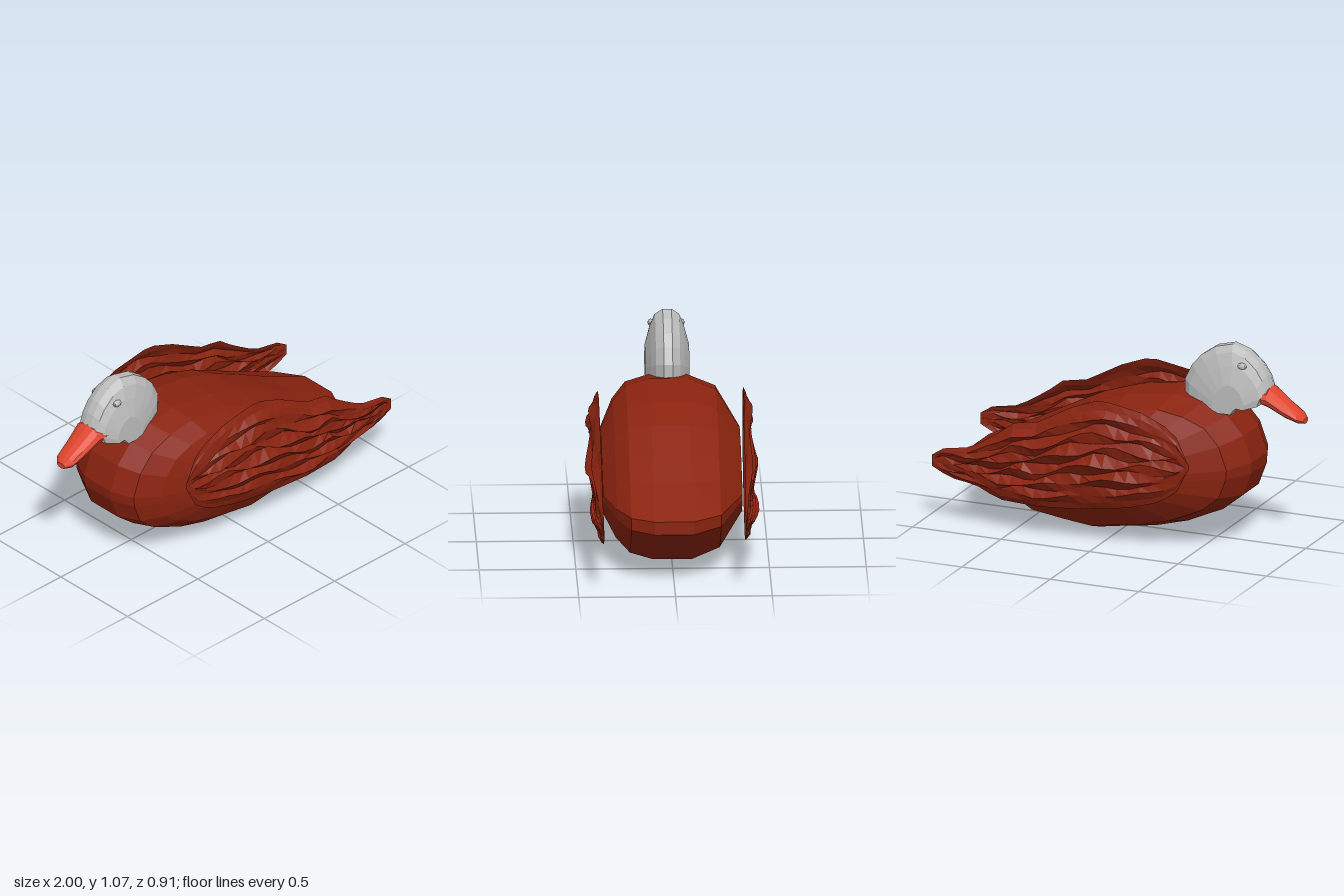
import * as THREE from 'three';

const mat = (name, color, opts = {}) => {
  const m = new THREE.MeshStandardMaterial({ color, flatShading: true, ...opts });
  m.name = name;
  return m;
};

// Faceted geometry from a list of points and triangle indices
function build(points, index) {
  const g = new THREE.BufferGeometry();
  g.setAttribute('position', new THREE.Float32BufferAttribute(points.flat(), 3));
  g.setIndex(index);
  const flat = g.toNonIndexed();
  flat.computeVertexNormals();
  return flat;
}

// Skin a stack of closed rings and cap both ends
function loft(rings) {
  const n = rings[0].length, last = rings.length - 1;
  const points = rings.flat(), index = [];
  const centre = r => [0, 1, 2].map(k => r.reduce((s, p) => s + p[k], 0) / n);
  points.push(centre(rings[0]), centre(rings[last]));
  const c0 = points.length - 2, c1 = points.length - 1;
  for (let j = 0; j < n; j++) {
    const k = (j + 1) % n;
    for (let i = 0; i < last; i++) {
      const a = i * n + j, b = i * n + k;
      index.push(a, b, b + n, a, b + n, a + n);
    }
    index.push(c0, k, j, c1, last * n + j, last * n + k);
  }
  return build(points, index);
}

// Side profile repeated across z, squeezed into each slice's x and y range
function slices(profile, list) {
  const xs = profile.map(p => p[0]), ys = profile.map(p => p[1]);
  const x0 = Math.min(...xs), x1 = Math.max(...xs), y0 = Math.min(...ys), y1 = Math.max(...ys);
  const map = THREE.MathUtils.mapLinear;
  return loft(list.map(([z, xa, xb, ya, yb]) =>
    profile.map(([x, y]) => [map(x, x0, x1, xa, xb), map(y, y0, y1, ya, yb), z])));
}

// Height of a polyline at x
function sample(line, x) {
  for (let i = 1; i < line.length; i++) {
    const [ax, ay] = line[i - 1], [bx, by] = line[i];
    if (x <= bx) return ay + (by - ay) * (x - ax) / (bx - ax);
  }
  return line[line.length - 1][1];
}

const wingTop = [[-0.46, 0.5], [-0.44, 0.59], [-0.36, 0.68], [-0.2, 0.75], [0.04, 0.79],
  [0.2, 0.73], [0.4, 0.62], [0.53, 0.6], [0.62, 0.53], [0.78, 0.43], [0.95, 0.4], [1, 0.36]];
const wingBottom = [[-0.46, 0.48], [-0.42, 0.37], [-0.3, 0.28], [-0.1, 0.22], [0.15, 0.18],
  [0.4, 0.16], [0.62, 0.17], [0.75, 0.23], [0.9, 0.25], [1, 0.3]];
// Feather relief from lower to upper edge
const featherRelief = [0, 0.25, 0.6, 0.3, 0.75, 0.4, 0.85, 0.35, 0.9, 0.5, 1, 0.55, 0.7, 0.3, 0];

// Single-sheet wing with ridged feathers converging on the tail
function wing(side) {
  const cols = 22, rows = featherRelief.length, points = [], index = [];
  for (let i = 0; i <= cols; i++) {
    const t = i / cols;
    const x = -0.46 + 1.46 * t;
    const lo = sample(wingBottom, x), hi = sample(wingTop, x);
    const swell = 0.085 * Math.sin(Math.PI * Math.pow(t, 0.9)) ** 0.8;
    for (let j = 0; j < rows; j++) {
      const v = j / (rows - 1), edge = Math.sin(Math.PI * v);
      const r = side > 0 ? featherRelief[j] : featherRelief[rows - 1 - j];
      const wave = edge * 0.018 * Math.sin(i * 1.1 + j * 1.7);
      const h = swell * r * (0.8 + 0.2 * Math.sin(i * 0.8 + j * 2.3));
      const base = side > 0 ? 0.368 : 0.39 - 0.025 * t;
      points.push([x - (side > 0 ? 0 : 0.05), lo + (hi - lo) * v + wave, side * (base + Math.max(0, h))]);
    }
  }
  for (let i = 0; i < cols; i++) for (let j = 0; j < rows - 1; j++) {
    const a = i * rows + j, b = a + rows;
    if (side > 0) index.push(a, b, b + 1, a, b + 1, a + 1);
    else index.push(a, b + 1, b, a, a + 1, b + 1);
  }
  return build(points, index);
}

export function createModel() {
  const group = new THREE.Group();
  const rust = mat('rust plumage', 0x8a230f);
  const rustWing = mat('rust wing', 0x8a230f, { side: THREE.DoubleSide });
  const grey = mat('grey head', 0xbdbdbd);
  const orange = mat('orange bill', 0xe0452f);
  const add = (name, geometry, material) => {
    const m = new THREE.Mesh(geometry, material);
    m.name = name;
    group.add(m);
    return m;
  };

  // Body
  const bodyProfile = [[0.83, 0.35], [0.55, 0.48], [0.38, 0.57], [0.18, 0.67], [-0.03, 0.74], [-0.3, 0.78],
    [-0.46, 0.755], [-0.6, 0.7], [-0.69, 0.6], [-0.74, 0.46], [-0.735, 0.4], [-0.69, 0.28], [-0.58, 0.19],
    [-0.38, 0.1], [-0.2, 0.05], [0, 0.02], [0.12, 0], [0.3, 0.02], [0.5, 0.05], [0.66, 0.15], [0.83, 0.28]];
  add('body', slices(bodyProfile, [
    [-0.365, -0.34, 0.38, 0.2, 0.56], [-0.245, -0.66, 0.73, 0.05, 0.73], [-0.1, -0.74, 0.83, 0, 0.78],
    [0.1, -0.74, 0.83, 0, 0.78], [0.22, -0.69, 0.77, 0.03, 0.75], [0.29, -0.56, 0.61, 0.09, 0.68],
    [0.355, -0.34, 0.37, 0.2, 0.56]]), rust);

  // Wings
  add('leftWing', wing(1), rustWing);
  add('rightWing', wing(-1), rustWing);

  // Head
  const headProfile = [[-0.33, 0.72], [-0.33, 0.85], [-0.37, 0.93], [-0.42, 0.985], [-0.5, 1.04], [-0.6, 1.065],
    [-0.68, 1.04], [-0.75, 0.98], [-0.79, 0.92], [-0.815, 0.85], [-0.79, 0.79], [-0.7, 0.8],
    [-0.65, 0.77], [-0.61, 0.72]];
  const half = [[0.02, -0.815, -0.33, 0.71, 1.065], [0.06, -0.805, -0.37, 0.71, 1.035],
    [0.085, -0.78, -0.43, 0.71, 0.97], [0.112, -0.7, -0.52, 0.71, 0.87]];
  const mirrored = half.map(([z, ...r]) => [-z - 0.005, ...r]).reverse();
  add('head', slices(headProfile, [...mirrored, ...half]), grey);

  // Bill: x, half width, top, bottom
  const bill = [[-1, 0.03, 0.71, 0.68], [-0.97, 0.06, 0.74, 0.68], [-0.9, 0.07, 0.79, 0.7],
    [-0.81, 0.085, 0.86, 0.745], [-0.71, 0.1, 0.848, 0.79]];
  add('bill', loft(bill.map(([x, w, top, low]) => Array.from({ length: 12 }, (_, k) => {
    const a = k / 12 * Math.PI * 2;
    return [x, (top + low) / 2 + Math.cos(a) * (top - low) / 2, Math.sin(a) * w];
  }))), orange);

  // Eyes
  for (const side of [1, -1]) {
    const eye = add(side > 0 ? 'leftEye' : 'rightEye', new THREE.SphereGeometry(1, 10, 6), grey);
    eye.scale.set(0.026, 0.018, 0.016);
    eye.position.set(-0.675, 0.97, side * 0.08);
  }
  return group;
}
